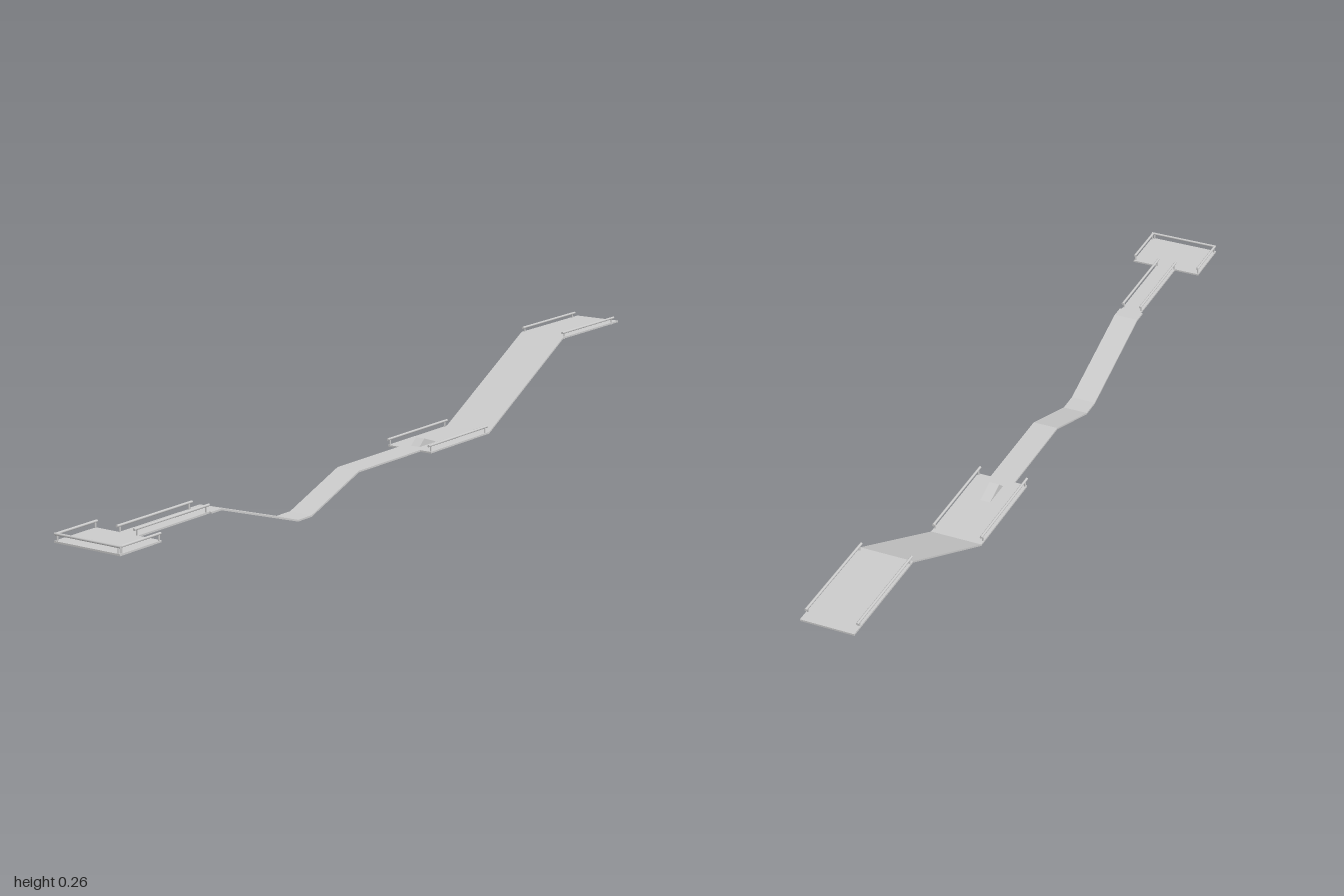
import * as THREE from 'three';

const material = new THREE.MeshStandardMaterial({ color: 0xcccccc, flatShading: true, side: THREE.DoubleSide });
const smooth = new THREE.MeshStandardMaterial({ color: 0xcccccc });
const THICK = 0.004;

// Side profile given as [z, y] points, extruded across x and centred
function extrudeAcross(name, points, halfWidth) {
  const shape = new THREE.Shape(points.map(([z, y]) => new THREE.Vector2(-z, y)));
  const geometry = new THREE.ExtrudeGeometry(shape, { depth: halfWidth * 2, bevelEnabled: false });
  geometry.translate(0, 0, -halfWidth);
  geometry.rotateY(Math.PI / 2);
  const mesh = new THREE.Mesh(geometry, material);
  mesh.name = name;
  return mesh;
}

// Thin deck following a line of top-surface points
function deck(name, line, halfWidth) {
  const under = line.map(([z, y]) => [z, y - THICK]).reverse();
  return extrudeAcross(name, [...line, ...under], halfWidth);
}

// Round bar between two points
function bar(name, a, b, radius) {
  const from = new THREE.Vector3(...a), to = new THREE.Vector3(...b);
  const dir = to.clone().sub(from);
  const mesh = new THREE.Mesh(new THREE.CylinderGeometry(radius, radius, dir.length(), 10), smooth);
  mesh.position.copy(from).add(to).multiplyScalar(0.5);
  mesh.quaternion.setFromUnitVectors(new THREE.Vector3(0, 1, 0), dir.normalize());
  mesh.name = name;
  return mesh;
}

// Handrail with a post near each end; a and b are [x, z]
function railing(name, a, b, floor) {
  const group = new THREE.Group();
  group.name = name;
  const top = floor + 0.0145;
  group.add(bar('handrail', [a[0], top, a[1]], [b[0], top, b[1]], 0.003));
  for (const t of [0.04, 0.96]) {
    const x = THREE.MathUtils.lerp(a[0], b[0], t), z = THREE.MathUtils.lerp(a[1], b[1], t);
    group.add(bar('post', [x, floor - THICK / 2, z], [x, top, z], 0.002));
  }
  return group;
}

export function createModel() {
  const model = new THREE.Group();
  model.name = 'walkway';
  const FRONT = 0.088, MIDDLE = 0.069, BACK = 0.247;

  // Decks and ramps from front to back
  model.add(
    deck('frontPlatform', [[1, FRONT], [0.87, FRONT]], 0.088),
    deck('footbridge', [[0.87, FRONT], [0.635, FRONT]], 0.025),
    deck('narrowPath', [[0.635, FRONT], [0.6, FRONT], [0.33, THICK], [0.28, THICK],
      [0.1, MIDDLE], [-0.145, MIDDLE]], 0.03),
    deck('middlePlatform', [[-0.145, MIDDLE], [-0.395, MIDDLE]], 0.061),
    deck('wideRamp', [[-0.395, MIDDLE], [-0.73, BACK]], 0.061),
    deck('backPlatform', [[-0.73, BACK], [-1, BACK]], 0.061),
  );

  // Small wedge on the middle platform
  model.add(extrudeAcross('wedge',
    [[-0.17, MIDDLE], [-0.19, MIDDLE + 0.017], [-0.24, MIDDLE]], 0.012));

  // Mirrored side railings
  for (const s of [-1, 1]) {
    model.add(
      railing('frontSideRailing', [s * 0.085, 0.997], [s * 0.085, 0.87], FRONT),
      railing('footbridgeRailing', [s * 0.023, 0.88], [s * 0.023, 0.635], FRONT),
      railing('middleRailing', [s * 0.058, -0.14], [s * 0.058, -0.39], MIDDLE),
      railing('backRailing', [s * 0.058, -0.73], [s * 0.058, -0.98], BACK - 0.004),
    );
  }
  model.add(railing('frontEndRailing', [-0.088, 0.997], [0.088, 0.997], FRONT));
  return model;
}
